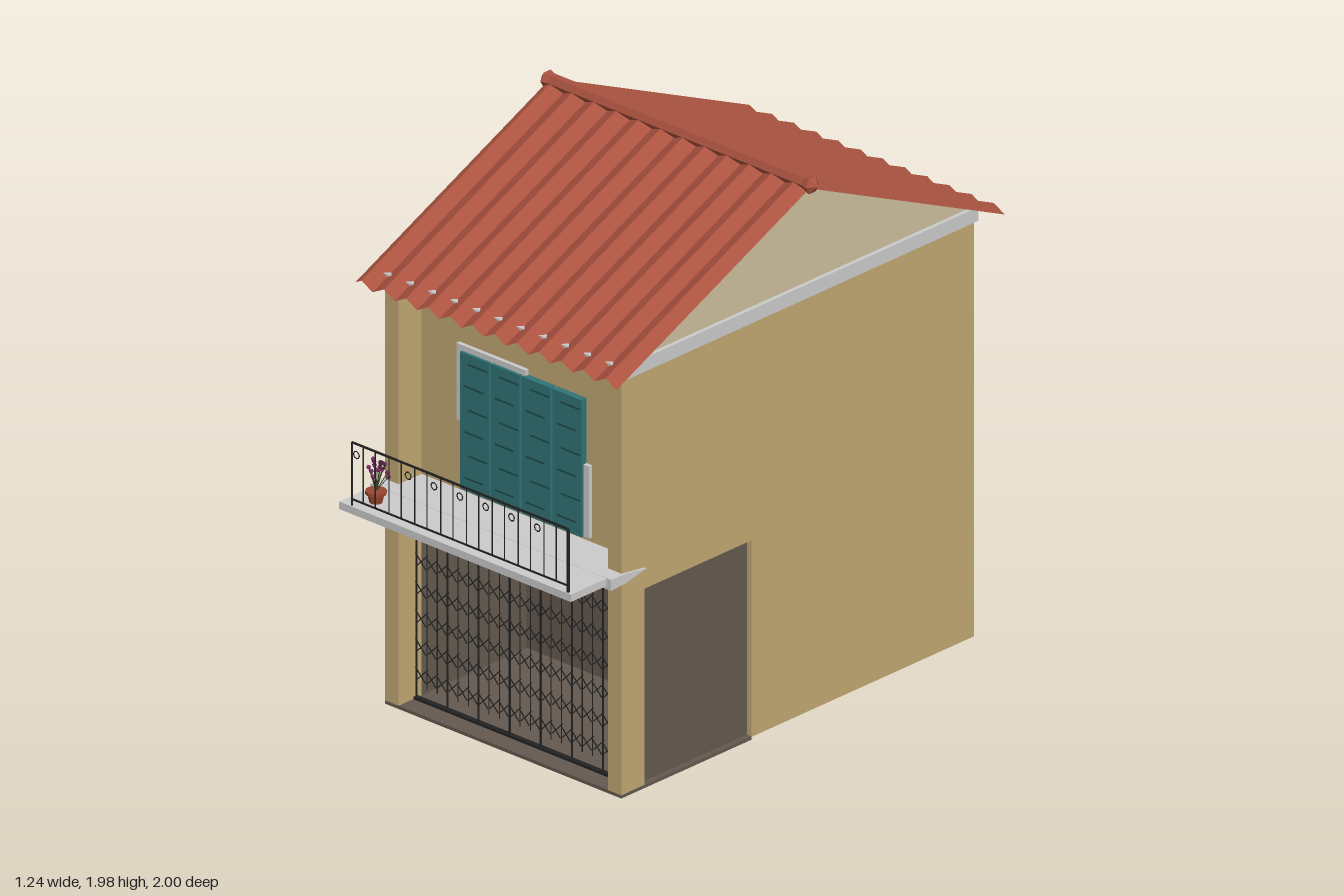
import * as THREE from 'three';
import { mergeGeometries } from 'three/addons/utils/BufferGeometryUtils.js';

const mat = (color, side = THREE.FrontSide) =>
  new THREE.MeshStandardMaterial({ color, side, flatShading: true });

const M = {
  wall: mat(0xc2a873), gable: mat(0xccbf9c), grey: mat(0xcccccc), dark: mat(0x64594f),
  tile: mat(0xa9523f, THREE.DoubleSide), teal: mat(0x327478), slat: mat(0x1f4a4d),
  iron: mat(0x222222), pot: mat(0x9a4630), leaf: mat(0x3c4a2a), petal: mat(0x7d2a66),
};

export function createModel() {
  const root = new THREE.Group();
  root.name = 'house';

  const add = (name, geo, m, parent = root) => {
    const mesh = new THREE.Mesh(geo, m);
    mesh.name = name;
    parent.add(mesh);
    return mesh;
  };
  // box from its min and max on each axis
  const boxGeo = (x0, x1, y0, y1, z0, z1) =>
    new THREE.BoxGeometry(x1 - x0, y1 - y0, z1 - z0)
      .translate((x0 + x1) / 2, (y0 + y1) / 2, (z0 + z1) / 2);
  const box = (name, m, ...b) => add(name, boxGeo(...b), m);
  // thin square bar between two points
  const bar = (a, b, t = 0.004) => {
    const p = new THREE.Vector3(...a), q = new THREE.Vector3(...b);
    const d = q.clone().sub(p);
    return new THREE.BoxGeometry(t, d.length(), t)
      .applyQuaternion(new THREE.Quaternion().setFromUnitVectors(
        new THREE.Vector3(0, 1, 0), d.normalize()))
      .translate(...p.add(q).multiplyScalar(0.5).toArray());
  };
  // [z, y] outline extruded along x, centred
  const alongX = (pts, width) => {
    const shape = new THREE.Shape(pts.map(([z, y]) => new THREE.Vector2(-z, y)));
    return new THREE.ExtrudeGeometry(shape, { depth: width, bevelEnabled: false })
      .translate(0, 0, -width / 2).rotateY(Math.PI / 2);
  };

  // walls
  box('upperStorey', M.wall, -0.53, 0.53, 0.72, 1.51, -0.91, 0.66);
  box('rearGroundFloor', M.wall, -0.53, 0.53, 0.01, 0.72, -0.91, 0.15);
  box('frontLintel', M.wall, -0.47, 0.47, 0.7, 0.73, 0.64, 0.66);
  for (const s of [-1, 1]) {
    const x = s * 0.5;
    box('cornerPillar', M.wall, x - 0.03, x + 0.03, 0.01, 1.51, 0.66, 0.77);
    box('sidePanel', M.dark, s * 0.49 - 0.02, s * 0.49 + 0.02, 0.01, 0.72, 0.15, 0.66);
  }

  // garage interior
  box('garageFloor', M.dark, -0.53, 0.53, 0, 0.012, 0.15, 0.77);
  box('garageBack', M.dark, -0.47, 0.47, 0.012, 0.72, 0.15, 0.16);
  box('garageCeiling', M.dark, -0.47, 0.47, 0.712, 0.72, 0.16, 0.64);

  // folding lattice gate
  const gate = [];
  for (let i = 0; i <= 20; i++) {
    const x = -0.465 + i * 0.0465;
    gate.push(bar([x, i % 3 ? 0.06 : 0.01, 0.69], [x, 0.7, 0.69], i % 3 ? 0.0025 : 0.005));
  }
  for (let r = 0; r < 6; r++) {
    const y = 0.105 + r * 0.103;
    for (let i = 0; i < 20; i++) {
      const x = -0.465 + i * 0.0465;
      gate.push(bar([x, y - 0.024, 0.685], [x + 0.0465, y + 0.024, 0.685], 0.003));
      gate.push(bar([x, y + 0.024, 0.695], [x + 0.0465, y - 0.024, 0.695], 0.003));
    }
  }
  gate.push(boxGeo(-0.47, 0.47, 0.012, 0.02, 0.68, 0.7));
  add('latticeGate', mergeGeometries(gate), M.iron);

  // cornice and gable prism
  box('cornice', M.grey, -0.54, 0.54, 1.51, 1.56, -0.92, 0.78);
  add('gable', alongX([[0.75, 1.555], [-0.07, 1.93], [-0.89, 1.555]], 1.05), M.gable);

  // folded roof sheets
  const roofSheet = (name, zEave) => {
    const xs = [-0.59];
    for (let i = 1; i <= 24; i++) xs.push(-0.611 + i * 0.04975);
    const pos = [], idx = [];
    xs.forEach((x, i) => {
      const lift = i === 0 ? -0.003 : i % 2 ? 0.013 : -0.013;
      pos.push(x, 1.945 + lift, -0.07, x, 1.532 + lift, zEave);
      if (i) {
        const a = 2 * i - 2;
        if (zEave > 0) idx.push(a, a + 1, a + 2, a + 2, a + 1, a + 3);
        else idx.push(a, a + 2, a + 1, a + 2, a + 3, a + 1);
      }
    });
    const g = new THREE.BufferGeometry();
    g.setAttribute('position', new THREE.Float32BufferAttribute(pos, 3));
    g.setIndex(idx);
    g.computeVertexNormals();
    add(name, g, M.tile);
  };
  roofSheet('frontRoof', 0.85);
  roofSheet('backRoof', -1);

  // ridge cap with flared, pointed ends
  const capProfile = [[0, -0.62], [0.032, -0.595], [0.025, -0.57], [0.025, 0.57], [0.032, 0.595], [0, 0.62]];
  add('ridgeCap', new THREE.LatheGeometry(capProfile.map(p => new THREE.Vector2(...p)), 6)
    .rotateZ(Math.PI / 2).translate(0, 1.948, -0.07), M.tile);

  // balcony slab and the tapering band around the pillars
  box('balconySlab', M.grey, -0.52, 0.52, 0.785, 0.812, 0.66, 1);
  add('balconyBand', alongX([[0.66, 0.797], [0.76, 0.777], [0.83, 0.773], [0.83, 0.813], [0.76, 0.811]], 1.08), M.grey);

  // railing
  const rail = [
    bar([-0.47, 1.04, 0.992], [0.5, 1.04, 0.992], 0.006),
    bar([-0.47, 0.835, 0.992], [0.5, 0.835, 0.992], 0.005),
    bar([0.5, 0.81, 0.992], [0.5, 1.04, 0.992], 0.008),
    bar([-0.47, 0.81, 0.992], [-0.47, 1.04, 0.992], 0.004),
  ];
  for (let i = 0; i < 8; i++) {
    const x = -0.45 + i * 0.116;
    rail.push(new THREE.TorusGeometry(0.013, 0.0025, 4, 8).translate(x, 1, 0.992));
    rail.push(bar([x + 0.03, 0.835, 0.992], [x + 0.03, 1.04, 0.992], 0.003));
    rail.push(bar([x + 0.085, 0.835, 0.992], [x + 0.085, 1.04, 0.992], 0.003));
  }
  rail.forEach((g, i) => { rail[i] = g.index ? g.toNonIndexed() : g; });
  add('railing', mergeGeometries(rail), M.iron);

  // window surround and four louvred shutters
  box('windowBacking', M.grey, -0.27, 0.27, 0.83, 1.32, 0.65, 0.67);
  box('frameTop', M.grey, -0.3, 0.01, 1.32, 1.345, 0.65, 0.675);
  box('frameLeft', M.grey, -0.3, -0.27, 1.07, 1.32, 0.65, 0.675);
  box('frameRight', M.grey, 0.27, 0.295, 0.83, 1.09, 0.65, 0.675);
  for (let i = 0; i < 4; i++) {
    const x = -0.275 + i * 0.1385;
    box('shutter', M.teal, x, x + 0.13, 0.83, 1.325, 0.66, 0.685);
    for (let j = 0; j < 6; j++) {
      const y = 0.875 + j * 0.0825;
      const x0 = x + (j % 2 ? 0.04 : 0.02);
      box('louvre', M.slat, x0, x0 + 0.085, y, y + 0.006, 0.68, 0.688);
    }
  }

  // flower pot
  const plant = new THREE.Group();
  plant.name = 'flowerPot';
  plant.position.set(-0.43, 0.812, 0.92);
  root.add(plant);
  add('pot', new THREE.CylinderGeometry(0.03, 0.022, 0.034, 10).translate(0, 0.017, 0), M.pot, plant);
  add('potRim', new THREE.CylinderGeometry(0.036, 0.036, 0.011, 10).translate(0, 0.037, 0), M.pot, plant);
  const stems = [], petals = [];
  for (let i = 0; i < 14; i++) {
    const a = i * 2.4, r = 0.012 + 0.0022 * i;
    const tip = [Math.cos(a) * r + 0.008, 0.15 - 0.0035 * i + 0.012 * Math.sin(i * 1.7), Math.sin(a) * r];
    stems.push(bar([0, 0.04, 0], tip, 0.002));
    petals.push(new THREE.IcosahedronGeometry(0.0085, 0).translate(...tip));
  }
  add('stems', mergeGeometries(stems), M.leaf, plant);
  add('blossoms', mergeGeometries(petals), M.petal, plant);

  return root;
}
